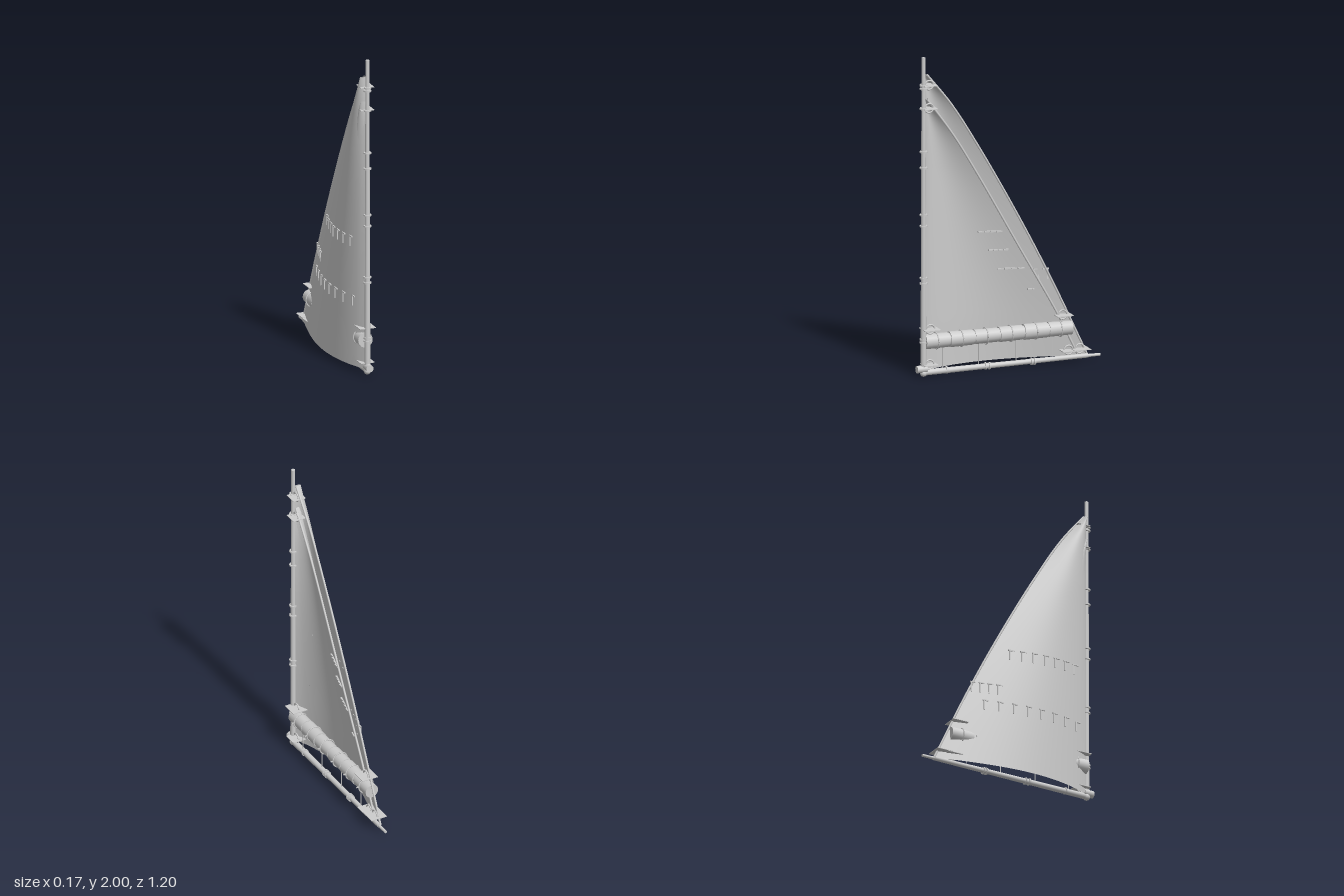
import * as THREE from 'three';

const AXIS = 0.027;   // x of the mast and boom
const MAST_Z = 0.555;
const LUFF_Z = 0.545;

export function createModel() {
  const model = new THREE.Group();
  const grey = new THREE.MeshStandardMaterial({ color: 0xcccccc });
  grey.name = 'pale grey';
  grey.side = THREE.DoubleSide;

  function add(name, geometry, x = 0, y = 0, z = 0) {
    const mesh = new THREE.Mesh(geometry, grey);
    mesh.name = name;
    mesh.position.set(x, y, z);
    model.add(mesh);
    return mesh;
  }
  const box = (name, w, h, d, x, y, z) => add(name, new THREE.BoxGeometry(w, h, d), x, y, z);
  // Cylinder along z; r1 is the radius at the +z end
  const rodZ = (name, r1, r2, length, x, y, z, sides = 16) =>
    add(name, new THREE.CylinderGeometry(r1, r2, length, sides).rotateX(Math.PI / 2), x, y, z);

  // Sail: rows run from the luff to a curved leech given as [z, y], foot to head.
  // The belly stays open up to the head, so the top is a narrow fold beside the mast.
  function makeSail(name, leech, offset, footDepth) {
    const curve = new THREE.CatmullRomCurve3(leech.map(([z, y]) => new THREE.Vector3(0, y, z)));
    const point = (u, v) => {
      const p = curve.getPoint(v);
      const depth = THREE.MathUtils.lerp(footDepth, 0.034, v);
      const belly = depth * Math.sin(Math.PI * Math.pow(u, 0.8));
      return new THREE.Vector3(0.018 + offset - belly, p.y, THREE.MathUtils.lerp(LUFF_Z, p.z, u));
    };
    const nu = 24, nv = 36;
    const geometry = new THREE.PlaneGeometry(1, 1, nu, nv);
    const pos = geometry.attributes.position;
    for (let j = 0; j <= nv; j++) {
      for (let i = 0; i <= nu; i++) {
        const p = point(i / nu, 1 - j / nv);
        pos.setXYZ(j * (nu + 1) + i, p.x, p.y, p.z);
      }
    }
    geometry.computeVertexNormals();
    add(name, geometry);

    // Rope sewn along the leech
    const edge = [];
    for (let i = 0; i <= 16; i++) edge.push(point(1, i / 16));
    add(name + 'LeechRope', new THREE.TubeGeometry(new THREE.CatmullRomCurve3(edge), 40, 0.007, 8));

    // Sail surface x at a given height and z
    return (y, z) => {
      let v = 0;
      while (v < 1 && curve.getPoint(v).y < y) v += 0.005;
      const end = curve.getPoint(v).z;
      return point(THREE.MathUtils.clamp((LUFF_Z - z) / (LUFF_Z - end), 0, 1), v).x;
    };
  }

  const mainX = makeSail('mainSail', [
    [-0.52, 0.035], [-0.29, 0.52], [-0.07, 0.945], [0.185, 1.396], [0.37, 1.69], [0.53, 1.89],
  ], 0, 0.103);
  const innerX = makeSail('innerSail', [
    [-0.455, 0.045], [-0.325, 0.31], [-0.07, 0.76], [0.2, 1.237], [0.36, 1.50], [0.53, 1.735],
  ], 0.004, 0.1);

  // Mast with its collars
  add('mast', new THREE.CylinderGeometry(0.012, 0.018, 1.97, 16), AXIS, 1.015, MAST_Z);
  for (const y of [0.215, 0.235, 0.585, 0.62, 0.945, 1.015, 1.31, 1.41, 1.68, 1.805, 1.825]) {
    add('mastCollar', new THREE.CylinderGeometry(0.024, 0.024, 0.009, 16), AXIS, y, MAST_Z);
  }

  // Boom, its thin end, collars and the joint at the mast
  const boom = rodZ('boom', 0.019, 0.014, 1.07, AXIS, 0.031, 0.015);
  boom.rotation.x = 0.006;
  rodZ('boomEnd', 0.01, 0.009, 0.1, AXIS, 0.033, -0.55);
  for (const z of [0.405, 0.15, 0.125, -0.15, -0.17]) {
    rodZ('boomCollar', 0.023, 0.023, 0.009, AXIS, 0.031, z);
  }
  rodZ('boomJoint', 0.023, 0.023, 0.065, AXIS, 0.05, 0.567);
  add('mastFoot', new THREE.SphereGeometry(0.022, 16, 10), AXIS, 0.024, MAST_Z);

  // Corner fittings: an upright ring crossed by a flat square plate; [y, z, plate size]
  const fittings = [
    [1.825, 0.518, 0.085], [1.68, 0.518, 0.085], [0.295, 0.51, 0.105], [0.075, 0.515, 0.09],
    [0.305, -0.355, 0.105], [0.08, -0.393, 0.105], [0.083, -0.466, 0.108],
  ];
  for (const [y, z, size] of fittings) {
    const ring = add('cornerRing', new THREE.TorusGeometry(0.028, 0.005, 8, 24), AXIS, y, z);
    ring.rotation.y = Math.PI / 2;
    box('cornerPlate', size, 0.004, size, AXIS, y, z);
  }

  // Rolled sail bundle: six sections with a strap and knot on each
  const rollX = 0.018;
  for (let i = 0; i < 6; i++) {
    const z = 0.47 - i * 0.1615;
    const r = 0.047 + 0.002 * Math.sin(i * 2.1);
    rodZ('sailRoll', r, r * 0.96, 0.15, rollX, 0.218, z, 20);
    add('rollStrap', new THREE.TorusGeometry(0.05, 0.004, 6, 24), rollX, 0.218, z);
    box('strapKnot', 0.02, 0.006, 0.006, 0.074, 0.222, z);
  }
  rodZ('rollCore', 0.041, 0.041, 0.94, rollX, 0.218, 0.066);

  // Lines from the bundle down to the boom
  for (const z of [0.43, 0.194, -0.05, -0.29]) {
    add('rollLine', new THREE.CylinderGeometry(0.003, 0.003, 0.14, 6), AXIS, 0.11, z);
  }

  // Reef ties hanging on the sail; [height, first z, last z, count]
  for (const [y, z0, z1, count] of [[0.855, 0.44, 0, 7], [0.6, -0.09, -0.25, 4], [0.48, 0.46, -0.18, 8]]) {
    for (let i = 0; i < count; i++) {
      const z = THREE.MathUtils.lerp(z0, z1, i / (count - 1));
      const x = mainX(y, z) - 0.004;
      box('reefTieBar', 0.008, 0.007, 0.04, x, y, z);
      box('reefTieTail', 0.006, 0.065, 0.007, x - 0.002, y - 0.033, z - 0.012);
    }
  }

  // Short battens on the lee face, each in pieces that follow the sail; [height, middle z, length]
  for (const [y, z, length] of [[0.86, 0.105, 0.145], [0.74, 0.05, 0.12], [0.617, -0.03, 0.16], [0.48, -0.155, 0.04]]) {
    for (let i = 0; i < 4; i++) {
      const pieceZ = z + length * (i - 1.5) / 4;
      box('batten', 0.012, 0.008, length / 4, innerX(y, pieceZ) + 0.003, y, pieceZ);
    }
  }

  return model;
}
